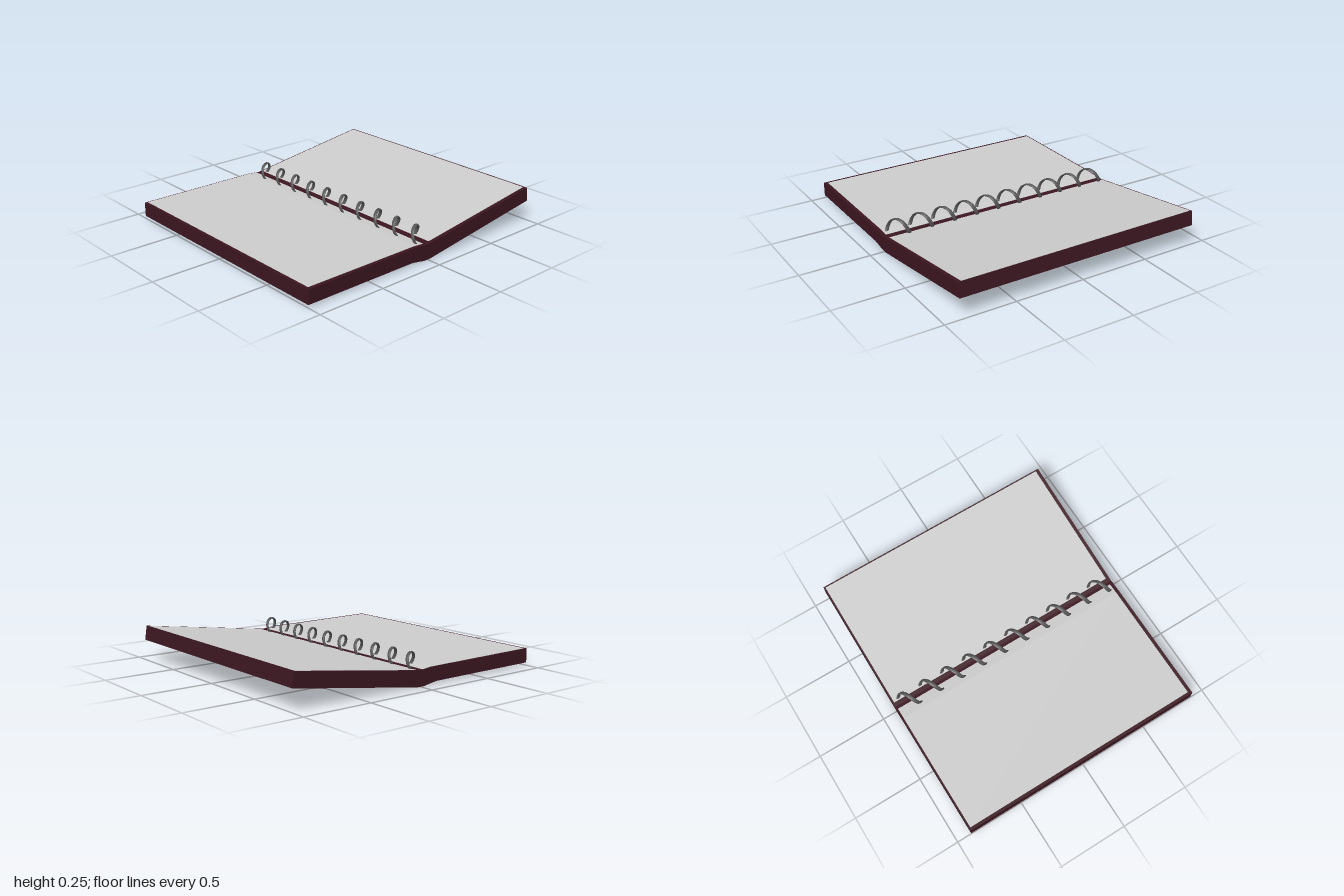
import * as THREE from 'three';

const coverMat = new THREE.MeshStandardMaterial({ color: 0x3b1620 });
const pageMat = new THREE.MeshStandardMaterial({ color: 0xcccccc });
const wireMat = new THREE.MeshStandardMaterial({ color: 0x555555 });

// Extrudes a side profile of [z, y] points from x0 to x1
function slab(name, profile, x0, x1, material) {
  const shape = new THREE.Shape(profile.map(([z, y]) => new THREE.Vector2(z, y)));
  const geo = new THREE.ExtrudeGeometry(shape, { depth: x1 - x0, bevelEnabled: false });
  geo.rotateY(-Math.PI / 2).translate(x1, 0, 0);
  const mesh = new THREE.Mesh(geo, material);
  mesh.name = name;
  return mesh;
}

// Spiral of flattened wire running along x, with its crests at the top
function spiral(turns, pitch, radius, halfThick, halfWidth) {
  const steps = turns * 32, sides = 8;
  const pos = [], idx = [];
  for (let i = 0; i <= steps; i++) {
    const t = (i / steps) * turns;
    const a = -Math.PI / 2 + t * 2 * Math.PI;
    const x = (t - turns / 2) * pitch;
    for (let j = 0; j < sides; j++) {
      const b = (j / sides) * 2 * Math.PI;
      const r = radius + halfThick * Math.cos(b);
      pos.push(x + halfWidth * Math.sin(b), r * Math.sin(a), -r * Math.cos(a));
      if (i === steps) continue;
      const p = i * sides + j, q = i * sides + (j + 1) % sides;
      idx.push(p, p + sides, q, q, p + sides, q + sides);
    }
  }
  // End caps
  const last = steps * sides;
  for (let j = 1; j < sides - 1; j++) {
    idx.push(0, j, j + 1, last, last + j + 1, last + j);
  }
  const geo = new THREE.BufferGeometry();
  geo.setAttribute('position', new THREE.Float32BufferAttribute(pos, 3));
  geo.setIndex(idx);
  geo.computeVertexNormals();
  return geo;
}

export function createModel() {
  const group = new THREE.Group();
  group.name = 'openNotebook';

  // Cover: flat front half, bent spine, raised back half
  group.add(slab('cover', [
    [1, 0.02], [1, 0.12], [0.1, 0.116], [0, 0.107], [-0.985, 0.245],
    [-1, 0.145], [-0.02, 0], [0.03, 0], [0.1, 0.012], [0.14, 0.018],
  ], -0.895, 0.895, coverMat));

  // Page blocks, set just proud of the cover
  group.add(slab('frontPages', [
    [0.98, 0.09], [0.98, 0.122], [0.1, 0.118], [0.022, 0.111], [0.022, 0.09],
  ], -0.885, 0.87, pageMat));
  group.add(slab('backPages', [
    [-0.03, 0.09], [-0.03, 0.113], [-0.975, 0.2456], [-0.975, 0.22],
  ], -0.885, 0.87, pageMat));

  // Spiral binding
  const binding = new THREE.Mesh(spiral(10, 0.1745, 0.062, 0.006, 0.015), wireMat);
  binding.name = 'spiralBinding';
  binding.position.set(0, 0.145, 0.009);
  wireMat.side = THREE.DoubleSide;
  group.add(binding);

  return group;
}
